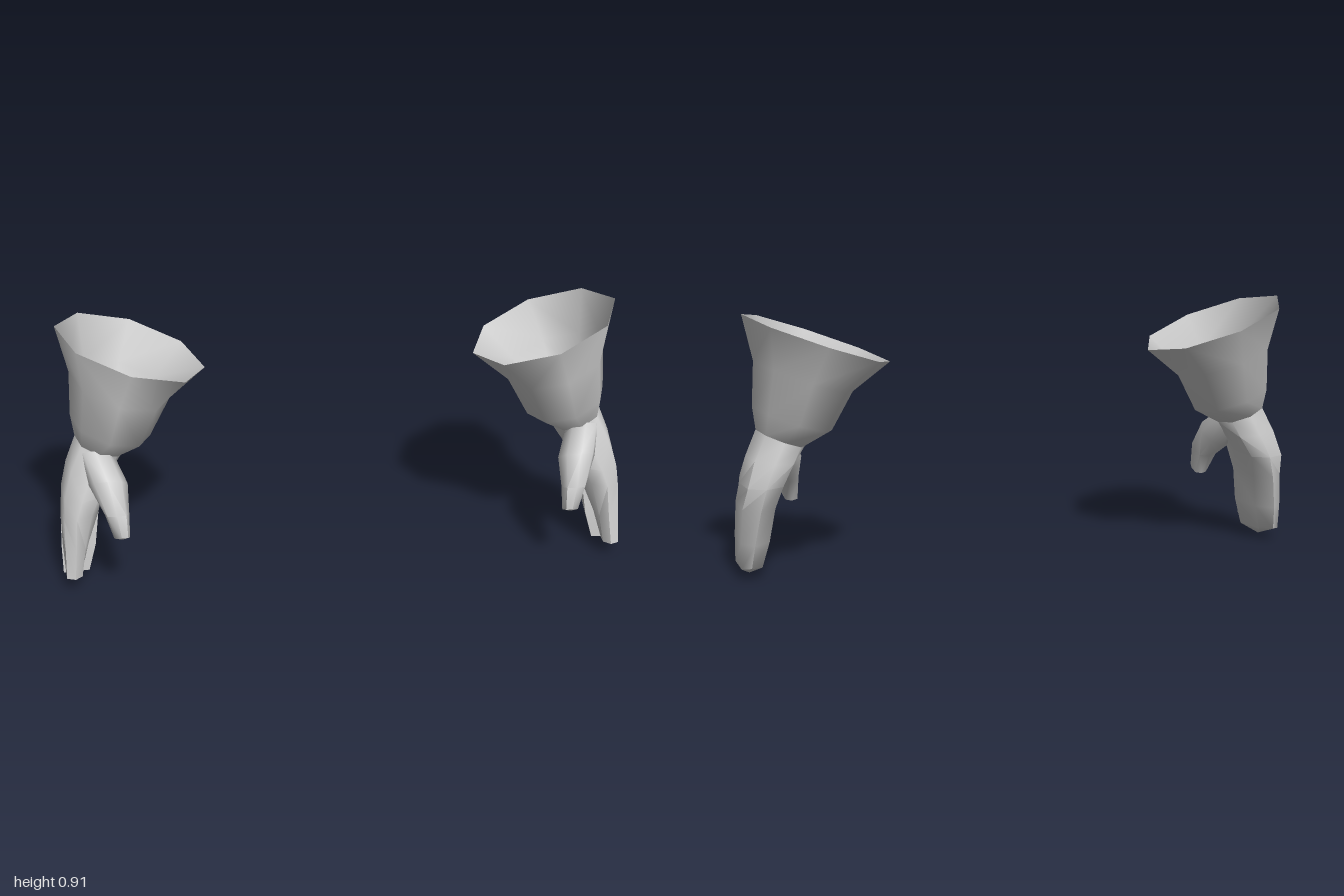
import * as THREE from 'three';
import { toCreasedNormals } from 'three/addons/utils/BufferGeometryUtils.js';

const material = new THREE.MeshStandardMaterial({ color: 0xcccccc, side: THREE.DoubleSide });

// Eight-sided tilted ring, starting at the front (+z) and turning towards +x.
// square pushes the diagonal corners outwards.
function ring([cx, cy, cz], rx, rz, tiltX = 0, tiltZ = 0, square = 1) {
  return Array.from({ length: 8 }, (_, k) => {
    const a = (k * Math.PI) / 4;
    const s = k % 2 ? square : 1;
    const dx = Math.sin(a) * rx * s;
    const dz = Math.cos(a) * rz * s;
    return [cx + dx, cy + dx * tiltX + dz * tiltZ, cz + dz];
  });
}

// Triangles joining the rings from top to bottom, closed by an optional tip point.
function loft(rings, tip) {
  const rows = tip ? [...rings, rings[0].map(() => tip)] : rings;
  const tris = [];
  for (let i = 0; i < rows.length - 1; i++) {
    const a = rows[i], b = rows[i + 1], n = a.length;
    for (let k = 0; k < n; k++) {
      const m = (k + 1) % n;
      tris.push([a[k], b[k], a[m]]);
      if (!(tip && i === rows.length - 2)) tris.push([a[m], b[k], b[m]]);
    }
  }
  return tris;
}

// Mesh for one side: side = 1 is the left glove, -1 its mirror image.
function part(name, tris, side) {
  const pos = tris.flatMap((t) => (side > 0 ? t : [...t].reverse()))
    .flatMap(([x, y, z]) => [x * side, y, z]);
  const geo = new THREE.BufferGeometry();
  geo.setAttribute('position', new THREE.Float32BufferAttribute(pos, 3));
  const mesh = new THREE.Mesh(toCreasedNormals(geo, 1.0), material);
  mesh.name = name;
  return mesh;
}

function glove(side) {
  const g = new THREE.Group();
  g.name = side > 0 ? 'leftGlove' : 'rightGlove';

  // Flared open cuff
  const wrist = ring([0.847, 0.48, 0.008], 0.083, 0.1, 0.4);
  g.add(part('cuff', loft([
    ring([0.72, 0.82, -0.025], 0.25, 0.245, 0.36),
    ring([0.765, 0.69, -0.005], 0.168, 0.192, 0.36),
    ring([0.805, 0.545, 0.006], 0.135, 0.158, 0.36),
    wrist,
  ]), side));

  // Palm, ending in the ring where the fingers part
  const split = [
    [0.935, 0.27, 0.175], [0.98, 0.26, 0.155], [0.995, 0.25, 0.097], [0.99, 0.25, -0.05],
    [0.935, 0.25, -0.11], [0.88, 0.25, -0.06], [0.865, 0.25, 0.09], [0.885, 0.27, 0.15],
  ];
  const palm = loft([
    wrist,
    ring([0.882, 0.41, 0.015], 0.085, 0.118, 0.15, 0, 1.08),
    ring([0.915, 0.33, 0.022], 0.075, 0.143, 0, 0, 1.12),
    split,
  ]);

  // Broad outer fingers joined as one
  const mitt = loft([
    [2, 3, 4, 5, 6].map((k) => split[k]),
    [[1, 0.13, 0.113], [0.997, 0.13, -0.04], [0.955, 0.13, -0.085], [0.9, 0.13, -0.04], [0.882, 0.13, 0.105]],
    [[1, 0.03, 0.12], [0.997, 0.038, -0.03], [0.965, 0.045, -0.06], [0.925, 0.038, -0.025], [0.91, 0.03, 0.11]],
  ], [0.96, 0, 0.06]);

  // Separate index finger
  const index = loft([
    [6, 7, 0, 1, 2].map((k) => split[k]),
    [[0.905, 0.15, 0.125], [0.915, 0.15, 0.168], [0.945, 0.15, 0.192], [0.983, 0.15, 0.178], [0.995, 0.15, 0.123]],
    [[0.935, 0.045, 0.148], [0.932, 0.05, 0.185], [0.955, 0.052, 0.209], [0.985, 0.052, 0.198], [0.99, 0.045, 0.145]],
  ], [0.96, 0.035, 0.177]);
  g.add(part('hand', [...palm, ...mitt, ...index], side));

  // Thumb growing out of the inner front of the palm
  g.add(part('thumb', loft([
    ring([0.86, 0.46, 0.06], 0.06, 0.045, 0, 0.8),
    ring([0.822, 0.385, 0.143], 0.066, 0.06, 0, 0.7),
    ring([0.797, 0.305, 0.215], 0.041, 0.05, 0, 0.4, 1.1),
    ring([0.785, 0.226, 0.237], 0.027, 0.033, 0, 0.46, 1.1),
  ], [0.785, 0.218, 0.237]), side));
  return g;
}

export function createModel() {
  const model = new THREE.Group();
  model.name = 'pairOfGloves';
  for (const side of [1, -1]) model.add(glove(side));
  return model;
}
